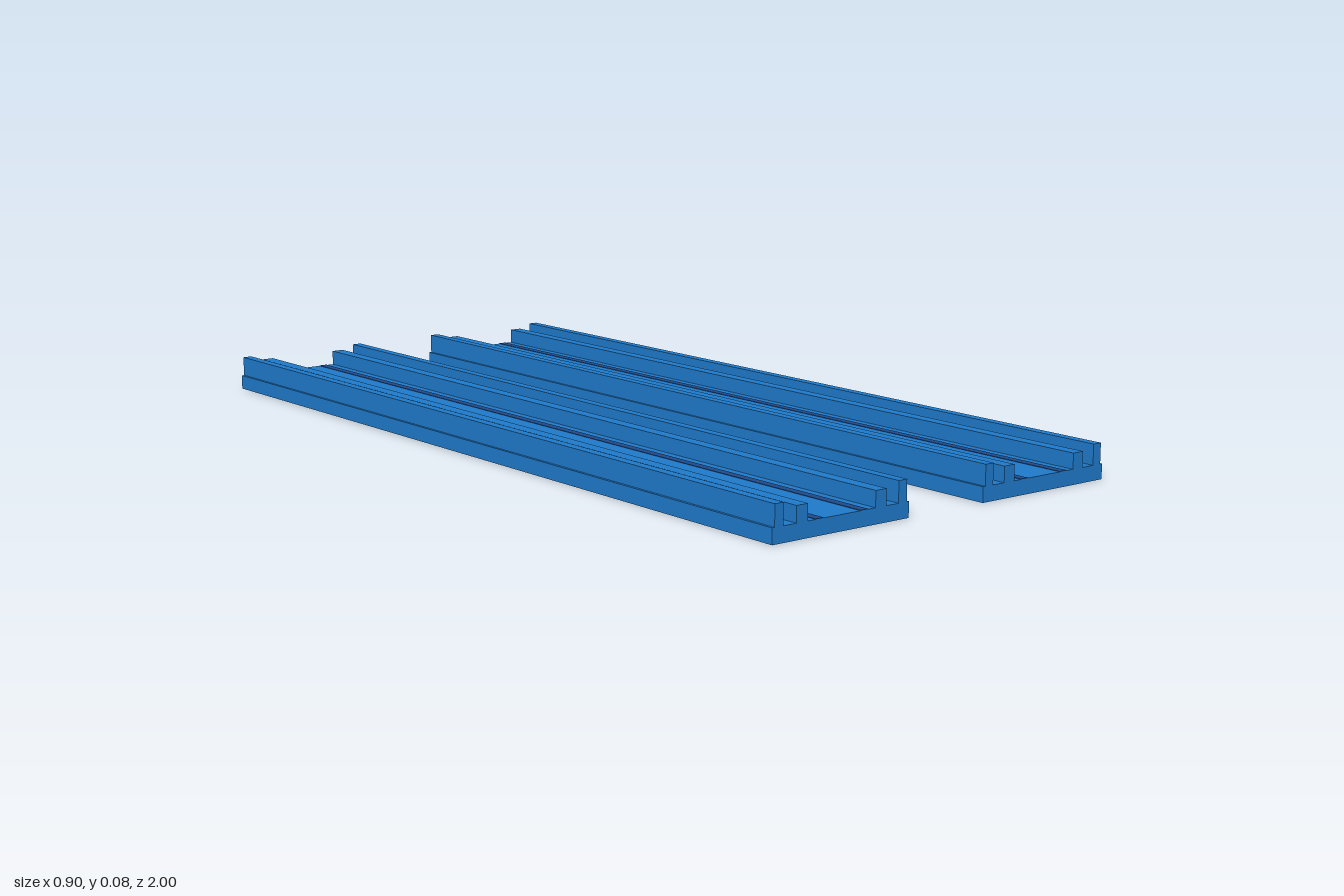
import * as THREE from 'three';

const LENGTH = 2;
const TRACK_X = 0.277;   // centre of each track
const BASE_W = 0.35;
const BASE_H = 0.033;

export function createModel() {
  const model = new THREE.Group();
  model.name = 'pairedTracks';

  const blue = new THREE.MeshStandardMaterial({ color: 0x1f7acb });
  blue.name = 'track blue';
  const navy = new THREE.MeshStandardMaterial({ color: 0x1f4a8a });
  navy.name = 'stripe navy';

  // Full-length bar whose underside sits at height y
  function bar(parent, name, material, width, height, x, y) {
    const mesh = new THREE.Mesh(new THREE.BoxGeometry(width, height, LENGTH), material);
    mesh.name = name;
    mesh.position.set(x, y + height / 2, 0);
    parent.add(mesh);
  }

  for (const side of [-1, 1]) {
    const track = new THREE.Group();
    track.name = side > 0 ? 'leftTrack' : 'rightTrack';
    track.position.x = side * TRACK_X;

    // Flat bed
    bar(track, 'bed', blue, BASE_W, BASE_H, 0, 0);

    // Mirrored rails and floor stripes
    for (const s of [-1, 1]) {
      bar(track, 'outerRail', blue, 0.022, 0.045, s * 0.158, BASE_H);
      bar(track, 'innerRail', blue, 0.029, 0.034, s * 0.101, BASE_H);
      bar(track, 'floorStripe', navy, 0.02, 0.001, s * 0.057, BASE_H);
    }
    model.add(track);
  }
  return model;
}
